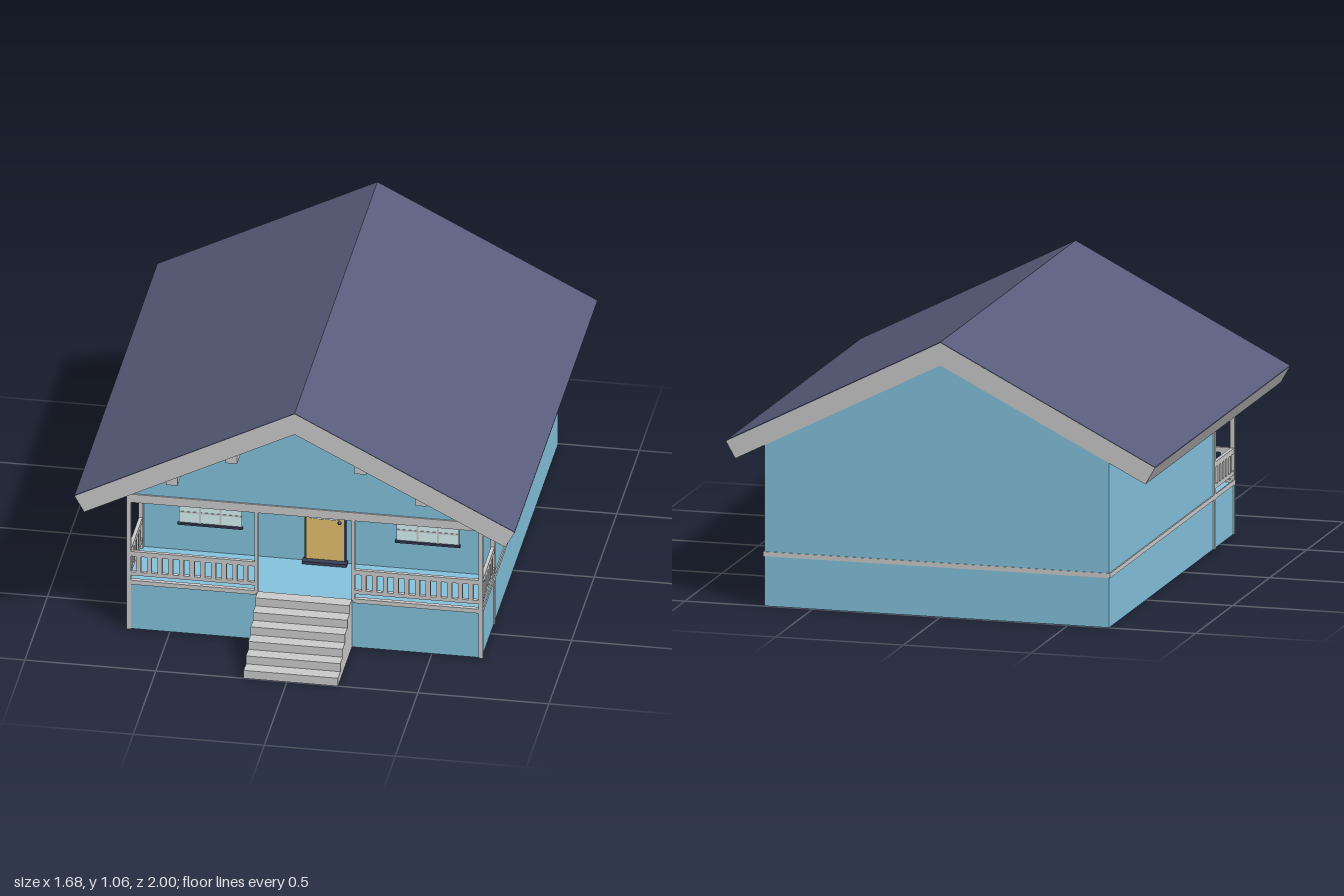
import * as THREE from 'three';

const mat = (color) => new THREE.MeshStandardMaterial({ color });
const GREY = mat(0xcccccc), BLUE = mat(0x84c3dd), NAVY = mat(0x595c7b);
const GOLD = mat(0xe5c16e), GLASS = mat(0xd8f4f6), DARK = mat(0x3a4058);

// Main dimensions
const X0 = -0.66, X1 = 0.69;            // side walls
const BACK = -0.997, WALL = 0.41, FRONT = 0.69;
const FLOOR = 0.2, CEIL = 0.575;
const BAY_L = -0.17, BAY_R = 0.2;       // stair opening between the inner posts

export function createModel() {
  const house = new THREE.Group();
  house.name = 'porchHouse';

  const add = (parent, name, geometry, material) => {
    const mesh = new THREE.Mesh(geometry, material);
    mesh.name = name;
    parent.add(mesh);
    return mesh;
  };
  // Box from its limits on each axis
  const box = (parent, name, material, [xa, xb], [ya, yb], [za, zb]) => {
    const mesh = add(parent, name, new THREE.BoxGeometry(xb - xa, yb - ya, zb - za), material);
    mesh.position.set((xa + xb) / 2, (ya + yb) / 2, (za + zb) / 2);
    return mesh;
  };
  // Profile in the xy plane, run from z = za to zb
  const prism = (parent, name, material, points, za, zb) => {
    const shape = new THREE.Shape(points.map(([x, y]) => new THREE.Vector2(x, y)));
    const geo = new THREE.ExtrudeGeometry(shape, { depth: zb - za, bevelEnabled: false });
    geo.translate(0, 0, za);
    return add(parent, name, geo, material);
  };
  const group = (name, parent = house) => {
    const g = new THREE.Group();
    g.name = name;
    parent.add(g);
    return g;
  };

  // Walls: raised base, enclosed rooms and the gabled attic over the porch
  const underside = (x) => 0.972 - 0.51 * Math.abs(x);
  box(house, 'base', BLUE, [X0, X1], [0, FLOOR], [BACK, FRONT]);
  box(house, 'rooms', BLUE, [X0, X1], [FLOOR, CEIL], [BACK, WALL]);
  prism(house, 'attic', BLUE,
    [[X0, CEIL], [X1, CEIL], [X1, underside(X1)], [0, 0.972], [X0, underside(X0)]], BACK, FRONT);

  // Roof: grey body with a thin coloured sheet on each slope
  const roof = group('roof');
  prism(roof, 'roofBody', GREY,
    [[0, 1.057], [-0.84, 0.627], [-0.803, 0.562], [0, 0.97], [0.803, 0.562], [0.84, 0.627]], -1, 0.83);
  for (const s of [-1, 1]) {
    const sheet = [[0, 1.056], [s * 0.84, 0.626], [s * 0.84, 0.63], [0, 1.06]];
    prism(roof, 'roofSheet', NAVY, sheet, -1, 0.83);
  }

  // Gable brackets under the front overhang
  for (const [x, y] of [[-0.478, 0.698], [-0.25, 0.813], [0.243, 0.813], [0.473, 0.698]])
    box(house, 'bracket', GREY, [x - 0.022, x + 0.022], [y - 0.018, y + 0.018], [FRONT, 0.78]);

  // Band around the base at floor level
  const trim = group('trim');
  const T = 0.005, band = [0.192, 0.21];
  for (const [x, s] of [[X0, -1], [X1, 1]]) {
    const side = [Math.min(x, x + s * T), Math.max(x, x + s * T)];
    box(trim, 'sideBand', GREY, side, band, [-1, FRONT + T]);
    // Trim where the rooms end and the porch begins
    const post = [Math.min(x + s * T, x - s * 0.012), Math.max(x + s * T, x - s * 0.012)];
    box(trim, 'wallPost', GREY, post, [0, CEIL], [WALL, WALL + 0.018]);
    box(trim, 'cornerPost', GREY, post, [0, CEIL], [FRONT - 0.012, FRONT + T]);
    box(trim, 'sideBeam', GREY, post, [0.545, 0.58], [WALL, FRONT + T]);
  }
  box(trim, 'backBand', GREY, [X0, X1], band, [-1, BACK]);
  box(trim, 'frontBandLeft', GREY, [X0, BAY_L], band, [FRONT - 0.012, FRONT + T]);
  box(trim, 'frontBandRight', GREY, [BAY_R, X1], band, [FRONT - 0.012, FRONT + T]);
  box(trim, 'frontBeam', GREY, [X0 - T, X1 + T], [0.545, 0.58], [FRONT - 0.012, FRONT + T + 0.001]);
  for (const x of [BAY_L, BAY_R])
    box(trim, 'innerPost', GREY, [x - 0.007, x + 0.007], [FLOOR, CEIL], [FRONT - 0.012, FRONT + T]);

  // Railing of a given length along +x, centred on its own z
  const railing = (length, gaps) => {
    const g = group('railing');
    const depth = [-0.007, 0.007];
    box(g, 'topRail', GREY, [0, length], [0.313, 0.333], depth);
    box(g, 'bottomRail', GREY, [0, length], [0.231, 0.246], depth);
    const step = length / gaps;
    for (let i = 1; i < gaps; i++)
      box(g, 'baluster', GREY, [i * step - 0.009, i * step + 0.009], [0.24, 0.32], depth);
    return g;
  };
  railing(BAY_L - X0, 12).position.set(X0, 0, FRONT - 0.003);
  railing(X1 - BAY_R, 12).position.set(BAY_R, 0, FRONT - 0.003);
  for (const x of [X0 + 0.003, X1 - 0.003]) {
    const g = railing(FRONT - WALL - 0.03, 6);
    g.rotation.y = Math.PI / 2;
    g.position.set(x, 0, FRONT - 0.012);
  }

  // Window facing +z, centred on its own x, with its back on z = 0
  const makeWindow = (w, y0, y1, cols, rows) => {
    const g = group('window');
    box(g, 'frame', DARK, [-w / 2 - 0.002, w / 2 + 0.002], [y0, y1 + 0.002], [0, 0.004]);
    box(g, 'pane', GLASS, [-w / 2, w / 2], [y0, y1], [0, 0.006]);
    box(g, 'sill', DARK, [-w / 2 - 0.006, w / 2 + 0.006], [y0 - 0.008, y0], [0, 0.015]);
    for (let i = 1; i < cols; i++) {
      const x = -w / 2 + (i * w) / cols;
      box(g, 'muntin', GREY, [x - 0.004, x + 0.004], [y0, y1], [0, 0.009]);
    }
    for (let j = 1; j < rows; j++) {
      const y = y0 + (j * (y1 - y0)) / rows;
      box(g, 'crossMuntin', GREY, [-w / 2, w / 2], [y - 0.003, y + 0.003], [0, 0.008]);
    }
    return g;
  };
  for (const x of [-0.393, 0.437])
    makeWindow(0.236, 0.322, 0.498, 3, 4).position.set(x, 0, WALL);
  for (const z of [0.157, -0.358]) {
    const g = makeWindow(0.09, 0.325, 0.485, 1, 1);
    g.rotation.y = Math.PI / 2;
    g.position.set(X1, 0, z);
  }

  // Front door
  const door = group('door');
  door.position.set(0.046, 0, WALL);
  box(door, 'doorFrame', DARK, [-0.08, 0.08], [FLOOR, 0.517], [0, 0.008]);
  box(door, 'doorPanel', GOLD, [-0.072, 0.072], [0.215, 0.51], [0, 0.013]);
  box(door, 'doorGlassFrame', DARK, [-0.055, 0.055], [0.388, 0.487], [0, 0.015]);
  box(door, 'doorGlass', GLASS, [-0.052, 0.052], [0.391, 0.484], [0, 0.017]);
  box(door, 'threshold', DARK, [-0.085, 0.085], [FLOOR, 0.212], [0, 0.033]);
  add(door, 'doorKnob', new THREE.SphereGeometry(0.007, 12, 8), DARK).position.set(0.056, 0.38, 0.018);

  // Stairs: stepped profile drawn in z and y, then turned to run across x
  const steps = 6, rise = 0.205 / steps, tread = (1 - FRONT) / steps;
  const outline = [new THREE.Vector2(0, 0)];
  for (let i = 0; i < steps; i++) {
    outline.push(new THREE.Vector2(i * tread, (steps - i) * rise));
    outline.push(new THREE.Vector2((i + 1) * tread, (steps - i) * rise));
  }
  outline.push(new THREE.Vector2(steps * tread, 0));
  const width = BAY_R - BAY_L - 0.01;
  const stairGeo = new THREE.ExtrudeGeometry(new THREE.Shape(outline), { depth: width, bevelEnabled: false });
  stairGeo.rotateY(-Math.PI / 2);
  add(house, 'stairs', stairGeo, GREY).position.set(BAY_R - 0.005, 0, FRONT);

  return house;
}
